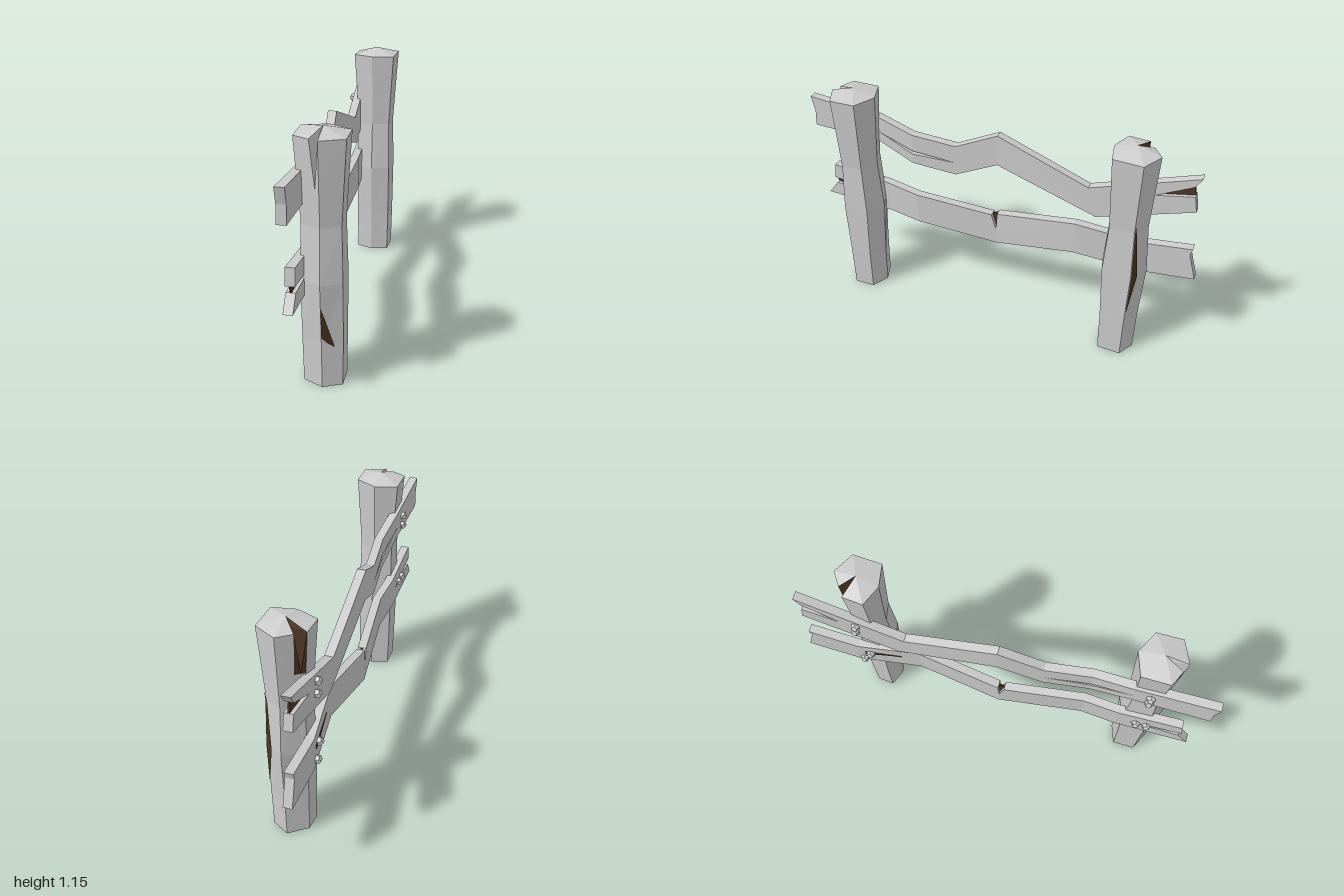
import * as THREE from 'three';
import { mergeGeometries } from 'three/addons/utils/BufferGeometryUtils.js';

const wood = new THREE.MeshStandardMaterial({ color: 0xcccccc });
wood.name = 'greyWood';
const core = new THREE.MeshStandardMaterial({ color: 0x4a3424 });
core.name = 'brownCore';

function addMesh(parent, name, geometry, material) {
  const mesh = new THREE.Mesh(geometry, material);
  mesh.name = name;
  parent.add(mesh);
  return mesh;
}

function flatGeometry(positions) {
  const g = new THREE.BufferGeometry();
  g.setAttribute('position', new THREE.Float32BufferAttribute(positions, 3));
  g.computeVertexNormals();
  return g;
}

// Height, width scale and depth scale of each post ring
const LEVELS = [
  [0, 0.8, 0.82], [0.22, 0.83, 0.86], [0.5, 0.84, 1], [0.75, 0.79, 0.84],
  [0.92, 0.88, 0.91], [1.125, 1, 1],
];

// Lofted post; one corner of the top ring is pushed in to make a split,
// and scars are thin strips laid on a side: rows of [y, from, to]
function makePost(name, ring, [cx, cz], split, splitMaterial, scarFace, scarRows) {
  const group = new THREE.Group();
  group.name = name;
  const n = ring.length;
  const rings = LEVELS.map(([y, sx, sz], i) => ring.map(([x, z], j) => {
    if (i === LEVELS.length - 1 && j === split.index) return [split.x, y, split.z];
    return [cx + (x - cx) * sx, y, cz + (z - cz) * sz];
  }));
  const apex = [cx, 1.155, cz], foot = [cx, 0, cz];
  const body = [], cleft = [];
  for (let j = 0; j < n; j++) {
    const k = (j + 1) % n;
    for (let i = 0; i < LEVELS.length - 1; i++) {
      const inSplit = i === LEVELS.length - 2 && (j === split.index || k === split.index);
      const a = rings[i][j], b = rings[i][k], c = rings[i + 1][j], d = rings[i + 1][k];
      // the diagonal starts at the outer corner so the split stays a clean V
      if (j === split.index) (inSplit ? cleft : body).push(...a, ...c, ...d, ...a, ...d, ...b);
      else (inSplit ? cleft : body).push(...a, ...c, ...b, ...b, ...c, ...d);
    }
    const top = rings[LEVELS.length - 1];
    const capSplit = j === split.index || k === split.index;
    (capSplit ? cleft : body).push(...top[j], ...apex, ...top[k]);
    body.push(...foot, ...rings[0][j], ...rings[0][k]);
  }
  addMesh(group, 'postBody', flatGeometry(body), wood);
  addMesh(group, 'topSplit', flatGeometry(cleft), splitMaterial);

  // Point on a side, lifted slightly off the surface
  const onSide = (y, t) => {
    let i = 0;
    while (i < LEVELS.length - 2 && y > LEVELS[i + 1][0]) i++;
    const f = (y - LEVELS[i][0]) / (LEVELS[i + 1][0] - LEVELS[i][0]);
    const at = (j) => new THREE.Vector3(...rings[i][j]).lerp(new THREE.Vector3(...rings[i + 1][j]), f);
    const a = at(scarFace), b = at((scarFace + 1) % n);
    const out = new THREE.Vector3(b.z - a.z, 0, a.x - b.x).normalize();
    return a.lerp(b, t).addScaledVector(out, 0.004).toArray();
  };
  const scar = [];
  for (let r = 0; r < scarRows.length - 1; r++) {
    const [y0, l0, r0] = scarRows[r], [y1, l1, r1] = scarRows[r + 1];
    const a = onSide(y0, l0), b = onSide(y0, r0), c = onSide(y1, l1), d = onSide(y1, r1);
    scar.push(...a, ...c, ...b, ...b, ...c, ...d);
  }
  addMesh(group, 'sideCrack', flatGeometry(scar), core);
  return group;
}

// Sideways position of a rail at z, from a list of [z, x] bends
function bendAt(bends, z) {
  let i = 0;
  while (i < bends.length - 2 && z < bends[i + 1][0]) i++;
  const [z0, x0] = bends[i], [z1, x1] = bends[i + 1];
  return x0 + ((x1 - x0) * (z - z0)) / (z1 - z0);
}

// Board pieces given as [z, y] outlines, extruded across x and bent
function makeBoards(outlines, bends, thickness, offset = 0) {
  return mergeGeometries(outlines.map((points) => {
    const shape = new THREE.Shape(points.map(([z, y]) => new THREE.Vector2(z, y)));
    let g = new THREE.ExtrudeGeometry(shape, { depth: thickness, bevelEnabled: false });
    g.rotateY(-Math.PI / 2);
    const p = g.attributes.position;
    for (let i = 0; i < p.count; i++) {
      p.setX(i, p.getX(i) + thickness / 2 + offset + bendAt(bends, p.getZ(i)));
    }
    if (g.index) g = g.toNonIndexed();
    g.computeVertexNormals();
    return g;
  }));
}

function makeRail(name, { bends, pieces, cracks, grain, bolts }) {
  const group = new THREE.Group();
  group.name = name;
  addMesh(group, 'board', makeBoards(pieces, bends, 0.042), wood);
  addMesh(group, 'crackCore', makeBoards(cracks, bends, 0.008), core);
  if (grain) addMesh(group, 'backCrack', makeBoards(grain, bends, 0.004, -0.022), core);
  for (const [z, y] of bolts) {
    const bolt = addMesh(group, 'bolt', new THREE.DodecahedronGeometry(0.022), wood);
    bolt.position.set(bendAt(bends, z) - 0.028, y, z);
  }
  return group;
}

const upperRail = {
  bends: [[1, -0.085], [0.62, -0.075], [0.43, -0.052], [0, -0.088], [-0.47, -0.08], [-1, -0.08]],
  pieces: [
    [[0.998, 1.005], [0.62, 0.972], [0.62, 0.835], [0.985, 0.845], [0.98, 0.93]],
    [[0.62, 0.972], [0.43, 0.925], [0.43, 0.835], [0.62, 0.89]],
    [[0.62, 0.89], [0.43, 0.817], [0.43, 0.765], [0.62, 0.835]],
    [[0.43, 0.925], [0.21, 0.9], [0.21, 0.807], [0.43, 0.835]],
    [[0.43, 0.817], [0.21, 0.807], [0.21, 0.74], [0.43, 0.765]],
    [[0.21, 0.9], [0, 0.997], [0, 0.835], [0.21, 0.74]],
    [[0, 0.997], [-0.455, 0.825], [-0.5, 0.67], [0, 0.835]],
    [[-0.455, 0.825], [-0.96, 1], [-0.93, 0.95], [-0.765, 0.865], [-0.94, 0.9], [-0.955, 0.82], [-0.5, 0.67]],
  ],
  cracks: [[[-0.93, 0.95], [-0.765, 0.865], [-0.94, 0.9]]],
  bolts: [[0.7, 0.925], [0.7, 0.87], [-0.68, 0.87], [-0.69, 0.81]],
};

const lowerRail = {
  bends: [[1, -0.08], [0.59, -0.072], [0.42, -0.052], [0, -0.09], [-0.41, -0.052], [-0.72, -0.08], [-1, -0.08]],
  pieces: [
    [[0.9, 0.625], [0.59, 0.59], [0.59, 0.422], [0.955, 0.44], [0.9, 0.512], [0.65, 0.508], [0.91, 0.545]],
    [[0.59, 0.59], [0.42, 0.572], [0.42, 0.407], [0.59, 0.422]],
    [[0.42, 0.572], [0.03, 0.53], [0.005, 0.445], [0, 0.36], [0.42, 0.407]],
    [[0.005, 0.445], [0, 0.54], [-0.41, 0.622], [-0.41, 0.45], [0, 0.36]],
    [[-0.41, 0.622], [-0.72, 0.58], [-0.73, 0.41], [-0.41, 0.45]],
    [[-0.72, 0.58], [-0.97, 0.61], [-0.96, 0.575], [-0.999, 0.44], [-0.73, 0.41]],
  ],
  cracks: [
    [[0.9, 0.512], [0.65, 0.508], [0.91, 0.545]],
    [[0.03, 0.53], [0.005, 0.445], [0, 0.54]],
  ],
  grain: [[[-0.5, 0.545], [-0.69, 0.5], [-0.69, 0.525]]],
  bolts: [[0.74, 0.53], [0.69, 0.525], [-0.66, 0.52], [-0.7, 0.45]],
};

export function createModel() {
  const model = new THREE.Group();
  model.name = 'brokenFence';

  model.add(makePost('frontPost',
    [[0.02, 0.585], [0.125, 0.64], [0.125, 0.765], [0.02, 0.81], [0, 0.8], [-0.02, 0.79], [-0.092, 0.755], [-0.09, 0.62]],
    [0.02, 0.7], { index: 4, x: 0.01, z: 0.73 }, wood,
    2, [[0.2, 0.4, 0.45], [0.22, 0.45, 0.72], [0.25, 0.55, 1], [0.39, 0.97, 1]]));

  model.add(makePost('backPost',
    [[0.03, -0.785], [0.13, -0.73], [0.12, -0.59], [0.01, -0.57], [-0.09, -0.61], [-0.08, -0.71], [-0.06, -0.723], [-0.035, -0.74]],
    [0.02, -0.675], { index: 6, x: 0.005, z: -0.69 }, core,
    0, [[0.29, 0.95, 1], [0.5, 0.62, 1], [0.75, 0.88, 1], [0.79, 0.97, 1]]));

  model.add(makeRail('upperRail', upperRail));
  model.add(makeRail('lowerRail', lowerRail));
  return model;
}
